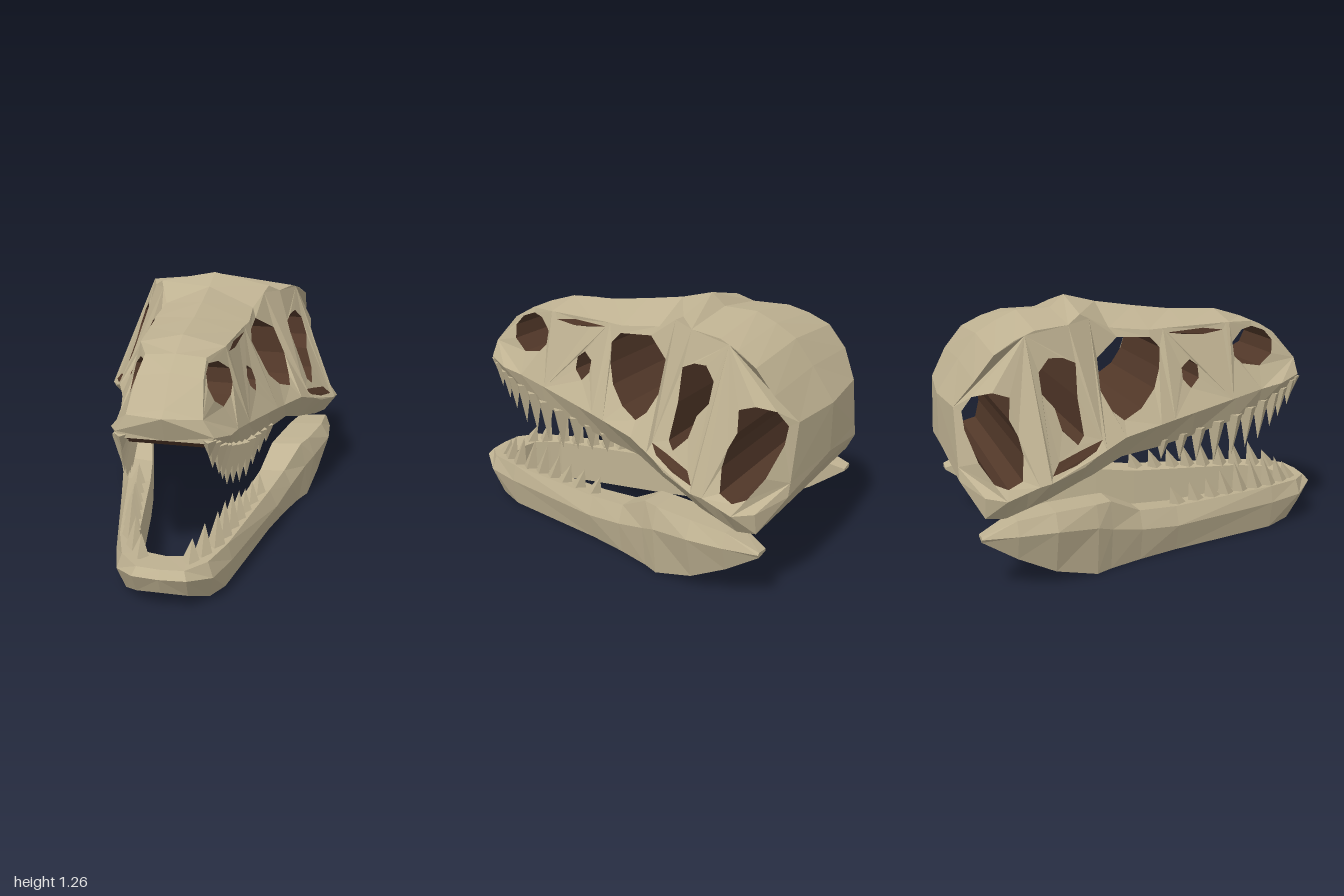
import * as THREE from 'three';

const bone = new THREE.MeshStandardMaterial({ color: 0xbfb292 });
bone.name = 'bone';
const hollow = new THREE.MeshStandardMaterial({ color: 0x523829 });
hollow.name = 'hollow';

// Cranium side rails, front to back: z, lip y/x, cheek ridge y/x, roof edge y/x, roof centre y
const STATIONS = [
  [0.84, 0.79, 0.20, 0.82, 0.22, 0.90, 0.17, 0.935],
  [0.72, 0.72, 0.235, 0.79, 0.275, 1.04, 0.15, 1.06],
  [0.60, 0.67, 0.25, 0.77, 0.285, 1.10, 0.14, 1.11],
  [0.45, 0.62, 0.28, 0.74, 0.31, 1.11, 0.20, 1.155],
  [0.20, 0.57, 0.32, 0.70, 0.37, 1.105, 0.21, 1.165],
  [0.00, 0.54, 0.36, 0.67, 0.43, 1.10, 0.24, 1.19],
  [-0.20, 0.53, 0.42, 0.645, 0.50, 1.12, 0.23, 1.22],
  [-0.36, 0.47, 0.47, 0.585, 0.56, 1.20, 0.29, 1.26],
  [-0.43, 0.45, 0.49, 0.55, 0.59, 1.16, 0.34, 1.20],
  [-0.60, 0.40, 0.55, 0.51, 0.655, 1.15, 0.39, 1.195],
  [-0.70, 0.375, 0.57, 0.48, 0.63, 1.115, 0.42, 1.15],
  [-0.80, 0.35, 0.59, 0.45, 0.66, 1.06, 0.45, 1.09],
  [-0.89, 0.36, 0.59, 0.46, 0.61, 0.95, 0.45, 0.97],
  [-0.975, 0.50, 0.45, 0.56, 0.43, 0.82, 0.36, 0.81],
];

// Linear interpolation of any table sorted by falling z
function at(table, z, col) {
  let i = 0;
  while (i < table.length - 2 && z < table[i + 1][0]) i++;
  const a = table[i], b = table[i + 1];
  return a[col] + (b[col] - a[col]) * (z - a[0]) / (b[0] - a[0]);
}

// Point on the hollow-cheeked side wall for a given z and y
function onWall(z, y) {
  const yM = at(STATIONS, z, 3), t = (y - yM) / (at(STATIONS, z, 5) - yM);
  const xM = at(STATIONS, z, 4);
  return [xM + (at(STATIONS, z, 6) - xM) * Math.max(t, 0) ** 0.75, y, z];
}

const rail = (cy, cx) => STATIONS.map(s => [s[cx], s[cy], s[0]]);
const toMiddle = row => row.map(p => [0, p[1], p[2]]);

// Triangles joining two rows of points
function strip(upper, lower) {
  const tris = [];
  for (let i = 0; i < upper.length - 1; i++) {
    tris.push([upper[i], lower[i], lower[i + 1]], [upper[i], lower[i + 1], upper[i + 1]]);
  }
  return tris;
}

// Flat-shaded mesh, optionally mirrored to the other side
function skin(name, tris, material, mirror) {
  const pos = [];
  for (const [a, b, c] of tris) {
    for (const p of (mirror ? [a, c, b] : [a, b, c])) pos.push(mirror ? -p[0] : p[0], p[1], p[2]);
  }
  const g = new THREE.BufferGeometry();
  g.setAttribute('position', new THREE.Float32BufferAttribute(pos, 3));
  g.computeVertexNormals();
  const m = new THREE.Mesh(g, material);
  m.name = name;
  return m;
}

// Triangles of a wall outline with holes, given as [z, y] points
function wallTris(outline, holes) {
  const v = pts => pts.map(([z, y]) => new THREE.Vector2(-z, y));
  const shape = new THREE.Shape(v(outline));
  holes.forEach(h => shape.holes.push(new THREE.Path(v(h))));
  const g = new THREE.ShapeGeometry(shape), p = g.attributes.position, idx = g.index.array;
  const tris = [];
  for (let i = 0; i < idx.length; i += 3) {
    tris.push([0, 1, 2].map(k => onWall(-p.getX(idx[i + k]), p.getY(idx[i + k]))));
  }
  return tris;
}

// Section of wall between two z values
function panel(z0, z1, holes) {
  const zs = [z0, ...STATIONS.map(s => s[0]).filter(z => z < z0 && z > z1), z1];
  const low = zs.map(z => [z, at(STATIONS, z, 3)]);
  const top = zs.map(z => [z, at(STATIONS, z, 5)]).reverse();
  return wallTris([...low, ...top], holes);
}

// Passage from a hole in the wall to the middle of the head
function tunnel(hole) {
  const rim = [...hole, hole[0]].map(([z, y]) => onWall(z, y));
  return strip(rim, toMiddle(rim));
}

const NOSTRIL = [[0.71, 1.0], [0.67, 1.05], [0.6, 1.075], [0.53, 1.065], [0.46, 1.01], [0.465, 0.94], [0.51, 0.9], [0.615, 0.88], [0.695, 0.935]];
const SNOUT_HOLE = [[0.21, 0.945], [0.16, 0.91], [0.16, 0.855], [0.2, 0.81], [0.25, 0.855], [0.25, 0.915]];
const ORBIT = [[0.05, 1.015], [0.005, 1.065], [-0.165, 1.075], [-0.29, 0.995], [-0.295, 0.855], [-0.245, 0.755], [-0.19, 0.71], [-0.09, 0.75], [-0.005, 0.83], [0.035, 0.92]];
const TEMPLE = [[-0.41, 0.99], [-0.475, 1.02], [-0.545, 1.025], [-0.6, 0.97], [-0.595, 0.875], [-0.54, 0.81], [-0.515, 0.71], [-0.445, 0.64], [-0.41, 0.675], [-0.42, 0.84]];
const REAR_HOLE = [[-0.745, 0.875], [-0.82, 0.9], [-0.905, 0.88], [-0.945, 0.81], [-0.94, 0.73], [-0.9, 0.6], [-0.845, 0.515], [-0.79, 0.495], [-0.72, 0.52], [-0.705, 0.625], [-0.72, 0.705], [-0.755, 0.78]];
const BROW_SLIT = [[0.41, 1.075], [0.3, 1.09], [0.1, 1.08], [0.2, 1.065], [0.3, 1.06]];
const CHEEK_SLIT = [[-0.32, 0.645], [-0.42, 0.62], [-0.55, 0.585], [-0.59, 0.535], [-0.47, 0.56], [-0.36, 0.605]];

// Lower jaw rings: outer top, outer ridge, outer bottom, inner bottom, inner top
const ring = (z, tx, ty, mx, my, bx, by, ix) =>
  [[tx, ty, z], [mx, my, z], [bx, by, z], [ix, by + 0.005, z], [ix, ty - 0.01, z]];
const JAW = [
  [[0, 0.225, 0.97], [0, 0.19, 1.0], [0, 0.1, 0.96], [0, 0.1, 0.84], [0, 0.22, 0.84]],
  [[0.11, 0.225, 0.96], [0.125, 0.19, 0.99], [0.12, 0.08, 0.93], [0.1, 0.07, 0.82], [0.1, 0.22, 0.82]],
  [[0.2, 0.23, 0.87], [0.225, 0.155, 0.88], [0.2, 0.02, 0.82], [0.15, 0.01, 0.74], [0.14, 0.22, 0.75]],
  ring(0.69, 0.26, 0.23, 0.28, 0.145, 0.25, 0, 0.17),
  ring(0.1, 0.38, 0.23, 0.42, 0.14, 0.38, 0, 0.26),
  ring(-0.11, 0.43, 0.25, 0.47, 0.165, 0.44, 0, 0.30),
  ring(-0.28, 0.5, 0.34, 0.53, 0.21, 0.5, 0, 0.34),
  ring(-0.36, 0.535, 0.345, 0.57, 0.24, 0.54, 0, 0.36),
  ring(-0.57, 0.59, 0.35, 0.635, 0.27, 0.58, 0.06, 0.41),
  ring(-0.75, 0.6, 0.335, 0.63, 0.27, 0.59, 0.15, 0.45),
  ring(-0.91, 0.59, 0.275, 0.6, 0.265, 0.59, 0.25, 0.52),
];

// Tooth rows: tip z, tip y
const UPPER_TEETH = [[0.82, 0.72], [0.79, 0.655], [0.73, 0.6], [0.68, 0.55], [0.61, 0.49], [0.53, 0.46], [0.445, 0.43], [0.34, 0.41], [0.235, 0.43], [0.135, 0.45], [0.03, 0.47]];
const LOWER_TEETH = [[0.82, 0.315], [0.75, 0.36], [0.66, 0.38], [0.57, 0.39], [0.475, 0.385], [0.385, 0.355], [0.3, 0.325], [0.2, 0.325], [0.09, 0.315]];
const LOWER_ROW = [[0.85, 0.1], [0.69, 0.2], [0.1, 0.32]];

// Four-sided spike from base to tip
function tooth(name, base, tip, radius) {
  const from = new THREE.Vector3(...base), to = new THREE.Vector3(...tip);
  const dir = to.clone().sub(from), len = dir.length();
  const g = new THREE.ConeGeometry(radius, len, 4).toNonIndexed();
  g.computeVertexNormals();
  const m = new THREE.Mesh(g, bone);
  m.name = name;
  m.position.copy(from).add(to).multiplyScalar(0.5);
  m.quaternion.setFromUnitVectors(new THREE.Vector3(0, 1, 0), dir.normalize());
  return m;
}

export function createModel() {
  const model = new THREE.Group();
  model.name = 'skull';

  // Ribbon from snout tip, along the roof, down the back of the head
  const lip = rail(1, 2), ridge = rail(3, 4), edge = rail(5, 6), n = STATIONS.length - 1;
  const centre = STATIONS.map(s => [0, s[7], s[0]]);
  centre[n][2] = -1.0;
  const middleRow = [[0, 0.79, 0.84], [0, 0.91, 0.89], ...centre, [0, 0.57, -1.0], [0, 0.48, -0.96], [0, 0.36, -0.89]];
  const edgeRow = [lip[0], ridge[0], ...edge, ridge[n], lip[n], lip[n - 1]];

  // Lower jaw loft with a closed rear end
  const jaw = [];
  for (let j = 0; j < 5; j++) jaw.push(...strip(JAW.map(r => r[j]), JAW.map(r => r[(j + 1) % 5])));
  const end = JAW[JAW.length - 1];
  for (let j = 1; j < 4; j++) jaw.push([end[0], end[j], end[j + 1]]);

  const bones = {
    roof: strip(middleRow, edgeRow),
    jawLip: strip(ridge, lip),
    sideWall: [
      ...panel(0.84, 0.43, [NOSTRIL]),
      ...panel(0.43, 0.08, [SNOUT_HOLE, BROW_SLIT]),
      ...panel(0.08, -0.31, [ORBIT]),
      ...panel(-0.31, -0.65, [TEMPLE, CHEEK_SLIT]),
      ...panel(-0.65, -0.975, [REAR_HOLE]),
    ],
    lowerJaw: jaw,
  };

  // Dark palate and the passages through the head
  const palateEdge = lip.slice(0, n);
  const hollows = {
    palate: strip(palateEdge, toMiddle(palateEdge)),
    nostril: tunnel(NOSTRIL),
    snoutHole: tunnel(SNOUT_HOLE),
    eyeSocket: tunnel(ORBIT),
    templeHole: tunnel(TEMPLE),
    rearHole: tunnel(REAR_HOLE),
    browSlit: wallTris(BROW_SLIT, []),
    cheekSlit: wallTris(CHEEK_SLIT, []),
  };

  for (const mirror of [false, true]) {
    const side = new THREE.Group(), s = mirror ? -1 : 1;
    side.name = mirror ? 'rightHalf' : 'leftHalf';

    for (const [name, tris] of Object.entries(bones)) side.add(skin(name, tris, bone, mirror));
    for (const [name, tris] of Object.entries(hollows)) side.add(skin(name, tris, hollow, mirror));

    for (const [z, y] of UPPER_TEETH) {
      const x = s * (at(STATIONS, z, 2) - 0.01), top = at(STATIONS, z, 1) + 0.03;
      side.add(tooth('upperTooth', [x, top, z + 0.01], [x, y, z], 0.027 + 0.1 * (top - y)));
    }
    for (const [z, y] of LOWER_TEETH) {
      const x = s * at(LOWER_ROW, z, 1);
      side.add(tooth('lowerTooth', [x, 0.21, z + 0.04], [x, y, z], 0.047));
    }
    model.add(side);
  }
  return model;
}
